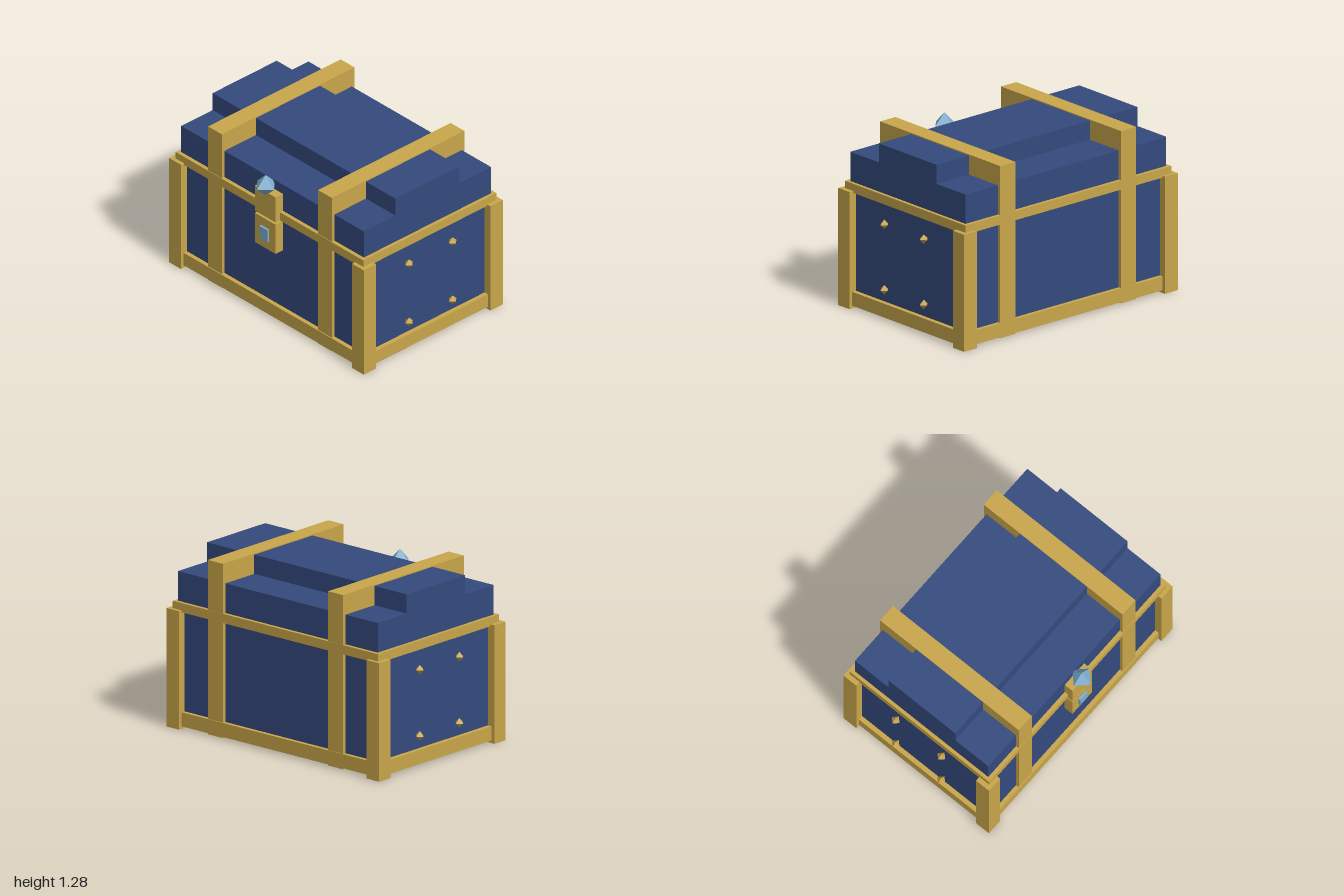
import * as THREE from 'three';

const material = (name, color) => {
  const m = new THREE.MeshStandardMaterial({ color });
  m.name = name;
  return m;
};

export function createModel() {
  const chest = new THREE.Group();
  chest.name = 'treasureChest';
  const blue = material('blue panel', 0x344a7e);
  const gold = material('gold trim', 0xc9a64a);
  const gemBlue = material('pale blue gem', 0x80afcf);

  // Box given by its [min, max] extents on each axis
  const box = (name, mat, [x0, x1], [y0, y1], [z0, z1]) => {
    const mesh = new THREE.Mesh(new THREE.BoxGeometry(x1 - x0, y1 - y0, z1 - z0), mat);
    mesh.position.set((x0 + x1) / 2, (y0 + y1) / 2, (z0 + z1) / 2);
    mesh.name = name;
    chest.add(mesh);
  };
  const octahedron = (name, mat, radius, x, y, z) => {
    const mesh = new THREE.Mesh(new THREE.OctahedronGeometry(radius), mat);
    mesh.position.set(x, y, z);
    mesh.name = name;
    chest.add(mesh);
  };

  // Body and stepped lid
  box('body', blue, [-0.93, 0.93], [0.03, 0.88], [-0.655, 0.558]);
  box('lidLower', blue, [-0.93, 0.93], [0.88, 1.13], [-0.655, 0.558]);
  box('lidUpper', blue, [-0.93, 0.93], [1.13, 1.27], [-0.352, 0.258]);

  // Base and lid rims
  box('baseRim', gold, [-0.965, 0.965], [0.02, 0.122], [-0.685, 0.59]);
  box('lidRim', gold, [-0.955, 0.955], [0.848, 0.915], [-0.682, 0.587]);

  for (const side of [-1, 1]) {
    // Strap around the whole chest
    box('strap', gold, [side * 0.56 - 0.07, side * 0.56 + 0.07], [0.01, 1.278], [-0.68, 0.583]);

    // Corner posts
    for (const z of [-0.65, 0.557]) {
      box('cornerPost', gold, [side * 0.931 - 0.06, side * 0.931 + 0.06], [0, 0.862], [z - 0.059, z + 0.059]);
    }

    // Studs on the end panel
    for (const y of [0.225, 0.707]) {
      for (const z of [-0.255, 0.16]) octahedron('stud', gold, 0.035, side * 0.965, y, z);
    }
  }

  // Clasp, lock and gem
  box('claspUpper', gold, [-0.105, 0.105], [0.848, 1.055], [0.54, 0.628]);
  box('claspLower', gold, [-0.105, 0.105], [0.588, 0.83], [0.54, 0.628]);
  box('lock', gemBlue, [-0.04, 0.04], [0.656, 0.76], [0.6, 0.645]);
  octahedron('gem', gemBlue, 0.085, 0, 1.105, 0.623);

  return chest;
}
